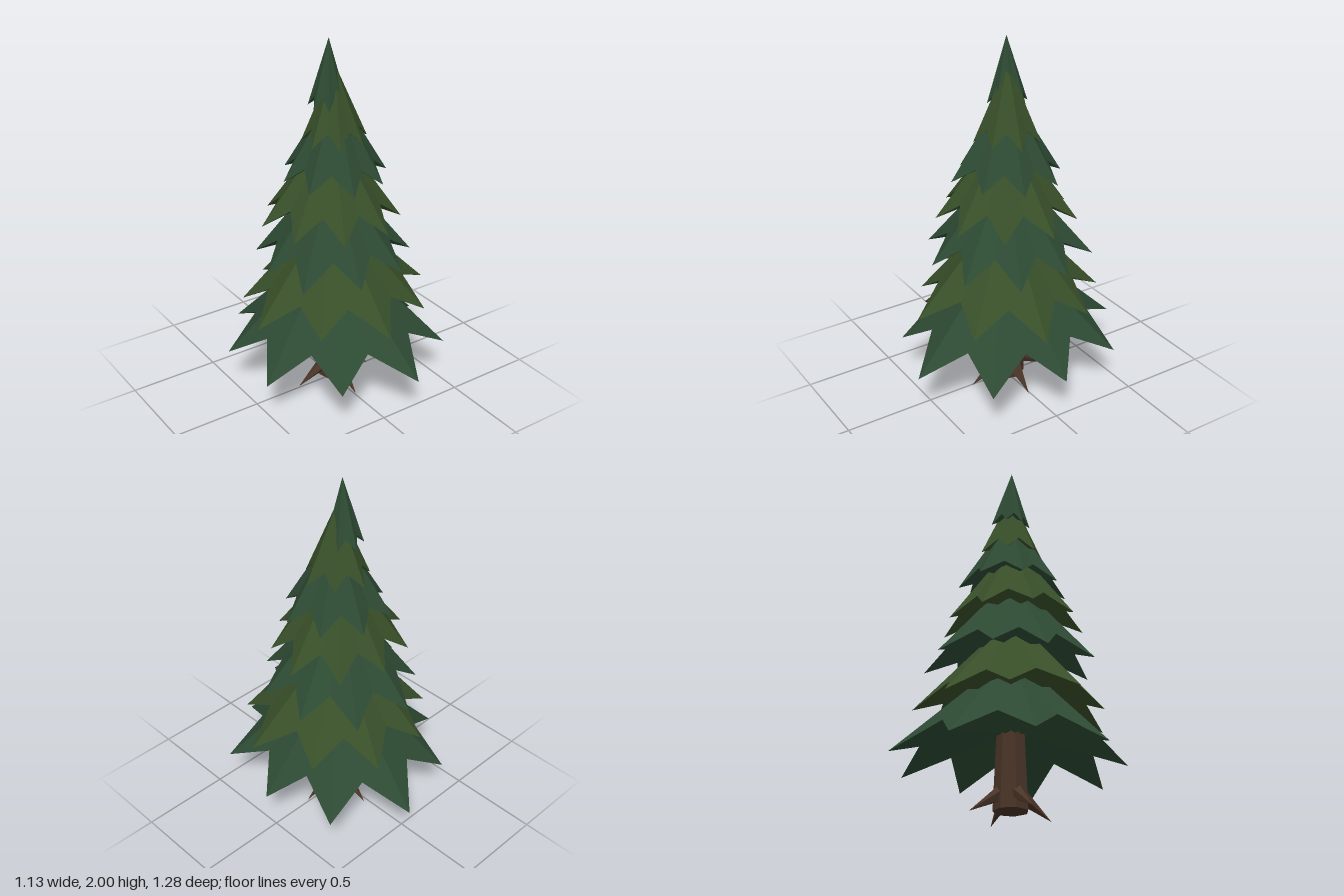
import * as THREE from 'three';

const material = (color) => new THREE.MeshStandardMaterial({ color, flatShading: true, roughness: 1 });
const blueGreen = material(0x2d4a33);
const olive = material(0x384f29);
const bark = material(0x4a3427);

// Each tier: tip height, apex height, rise of the notches, first tip angle (degrees), tip radii, centre
const TIERS = [
  { y: 0.26, apex: 0.88, rise: 0.14, start: -1, radii: [0.57, 0.63, 0.645, 0.587, 0.60, 0.59, 0.60, 0.65, 0.62] },
  { y: 0.53, apex: 1.10, rise: 0.12, start: 11, radii: [0.56, 0.525, 0.555, 0.48, 0.535, 0.49, 0.495, 0.52, 0.50] },
  { y: 0.78, apex: 1.34, rise: 0.12, start: -17, radii: [0.43, 0.44, 0.43, 0.42, 0.46, 0.40, 0.42, 0.467, 0.47] },
  { y: 1.02, apex: 1.55, rise: 0.11, start: -6, radii: [0.395, 0.37, 0.38, 0.38, 0.385, 0.39, 0.37, 0.365, 0.385] },
  { y: 1.25, apex: 1.74, rise: 0.09, start: 16, radii: [0.29, 0.28, 0.31, 0.29, 0.28, 0.30, 0.29, 0.29], cx: 0.02 },
  { y: 1.45, apex: 1.87, rise: 0.08, start: 10, radii: [0.19, 0.17, 0.18, 0.18, 0.17, 0.19, 0.18], cx: 0.015 },
  { y: 1.64, apex: 2.0, rise: 0.06, start: 20, radii: [0.10, 0.09, 0.10, 0.10, 0.11, 0.12, 0.11], cx: -0.01, cz: -0.01 },
];

// Star-shaped skirt of drooping branches with a shallow hollow underside
function tierGeometry({ y, apex, rise, start, radii, cx = 0, cz = 0 }) {
  const n = radii.length;
  const rim = [];
  for (let i = 0; i < n; i++) {
    const add = (r, turn, h) => {
      const a = THREE.MathUtils.degToRad(start) + (turn / n) * Math.PI * 2;
      rim.push([cx + r * Math.cos(a), h, cz + r * Math.sin(a)]);
    };
    add(radii[i], i, y);
    add(0.36 * (radii[i] + radii[(i + 1) % n]), i + 0.5, y + rise);
  }
  const top = [cx, apex, cz];
  const hollow = [cx, y + rise * 1.25, cz];
  const points = [];
  rim.forEach((a, i) => {
    const b = rim[(i + 1) % rim.length];
    points.push(...top, ...b, ...a, ...hollow, ...a, ...b);
  });
  const geometry = new THREE.BufferGeometry();
  geometry.setAttribute('position', new THREE.Float32BufferAttribute(points, 3));
  geometry.computeVertexNormals();
  return geometry;
}

export function createModel() {
  const tree = new THREE.Group();
  tree.name = 'pineTree';

  // Foliage in alternating greens
  const foliage = new THREE.Group();
  foliage.name = 'foliage';
  TIERS.forEach((tier, i) => {
    const mesh = new THREE.Mesh(tierGeometry(tier), i % 2 ? olive : blueGreen);
    mesh.name = `branchTier${i + 1}`;
    foliage.add(mesh);
  });
  tree.add(foliage);

  // Trunk, running up into the lowest branches
  const trunk = new THREE.Mesh(new THREE.CylinderGeometry(0.07, 0.093, 0.52, 7), bark);
  trunk.name = 'trunk';
  trunk.position.set(0.016, 0.285, 0);
  tree.add(trunk);

  // Four pointed roots sloping down to the ground
  const roots = new THREE.Group();
  roots.name = 'roots';
  const up = new THREE.Vector3(0, 1, 0);
  for (let i = 0; i < 4; i++) {
    const a = (i * Math.PI) / 2 + 0.04;
    const from = new THREE.Vector3(0.016 + 0.05 * Math.cos(a), 0.115, 0.05 * Math.sin(a));
    const to = new THREE.Vector3(0.016 + 0.232 * Math.cos(a), 0, 0.232 * Math.sin(a));
    const axis = to.clone().sub(from);
    const root = new THREE.Mesh(new THREE.ConeGeometry(0.042, axis.length(), 5), bark);
    root.name = `root${i + 1}`;
    root.position.copy(from).add(to).multiplyScalar(0.5);
    root.quaternion.setFromUnitVectors(up, axis.normalize());
    roots.add(root);
  }
  tree.add(roots);
  return tree;
}
